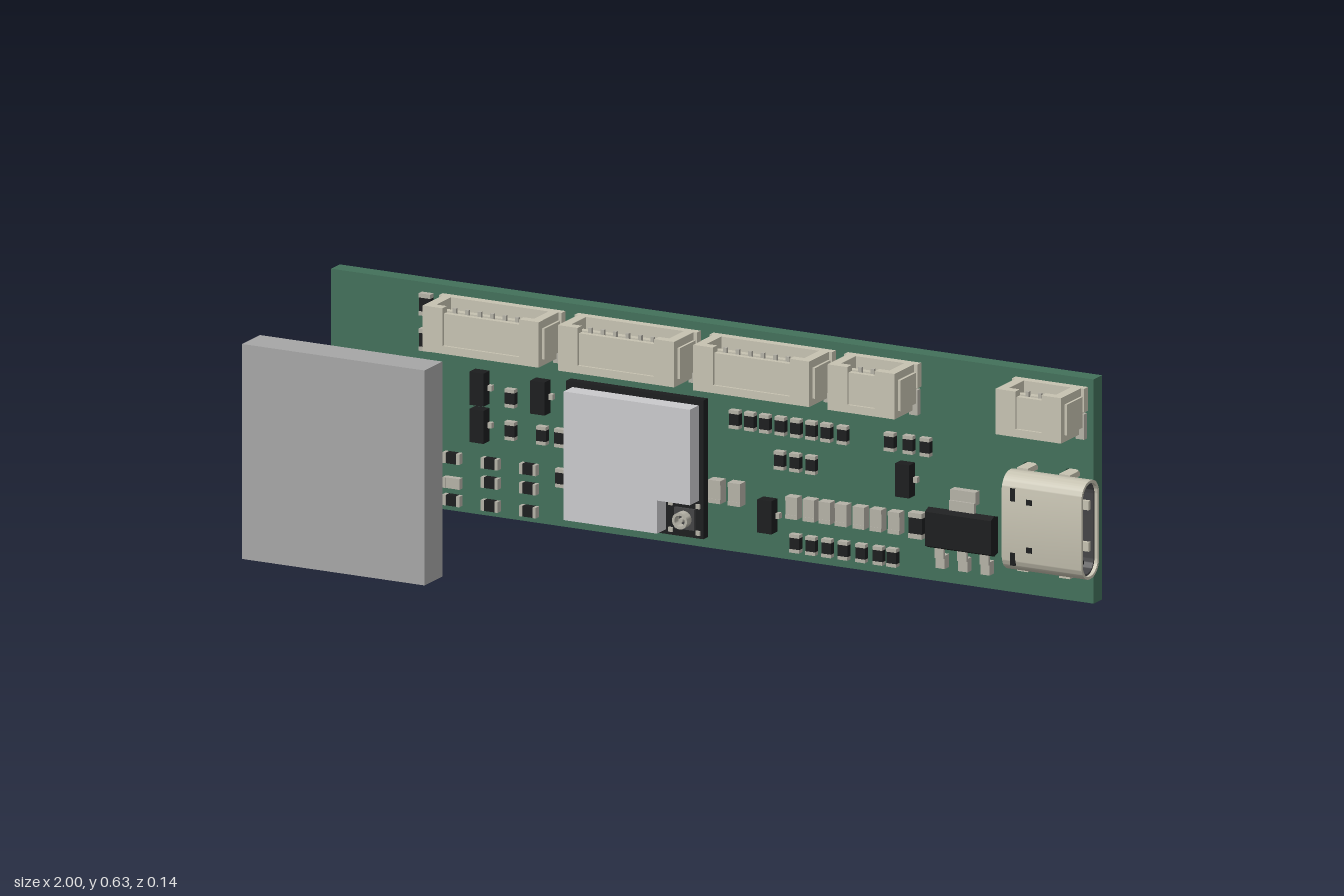
import * as THREE from 'three';
import { toCreasedNormals } from 'three/addons/utils/BufferGeometryUtils.js';

const mat = (name, color, side = THREE.FrontSide) => {
  const m = new THREE.MeshStandardMaterial({ color, side });
  m.name = name;
  return m;
};

export function createModel() {
  const green = mat('boardGreen', 0x42705a);
  const grey = mat('blockGrey', 0xa6a6a6);
  const silver = mat('shieldSilver', 0xc9c9cc);
  const cream = mat('connectorCream', 0xc6c2b1);
  const black = mat('chipBlack', 0x1c1d1e);
  const dark = mat('socketDark', 0x434345);
  const metal = mat('solderMetal', 0xb4b1a6);

  const F = -0.032; // front face of the board
  const root = new THREE.Group();
  root.name = 'circuitBoardAssembly';

  const group = (name, parent = root) => {
    const g = new THREE.Group();
    g.name = name;
    parent.add(g);
    return g;
  };
  const add = (parent, name, geo, material) => {
    const m = new THREE.Mesh(geo, material);
    m.name = name;
    parent.add(m);
    return m;
  };
  // box given by its limits on each axis
  const box = (parent, name, material, x0, x1, y0, y1, z0, z1) => {
    const m = add(parent, name, new THREE.BoxGeometry(x1 - x0, y1 - y0, z1 - z0), material);
    m.position.set((x0 + x1) / 2, (y0 + y1) / 2, (z0 + z1) / 2);
    return m;
  };
  const poly = pts => new THREE.Shape(pts.map(p => new THREE.Vector2(p[0], p[1])));
  const extrude = (shape, depth) =>
    new THREE.ExtrudeGeometry(shape, { depth, bevelEnabled: false, curveSegments: 10 });
  // (z, y) profile swept along x
  const sweepX = (shape, x0, x1) => extrude(shape, x1 - x0).rotateY(-Math.PI / 2).translate(x1, 0, 0);
  // rectangle with round corners, as a shape or a hole
  const rounded = (cx, cy, w, h, r, Kind = THREE.Shape) => {
    const s = new Kind(), a = w / 2 - r, b = h / 2 - r;
    s.absarc(cx + a, cy + b, r, 0, Math.PI / 2);
    s.absarc(cx - a, cy + b, r, Math.PI / 2, Math.PI);
    s.absarc(cx - a, cy - b, r, Math.PI, Math.PI * 1.5);
    s.absarc(cx + a, cy - b, r, Math.PI * 1.5, Math.PI * 2);
    s.closePath();
    return s;
  };

  // board with slots and locating holes for the socket
  const slots = [[0.935, 0.21], [0.835, 0.212], [0.935, 0.424], [0.835, 0.425]];
  const outline = poly([[-0.83, 0.147], [0.985, 0.147], [0.985, 0.635], [-0.83, 0.635]]);
  slots.forEach(([x, y]) => outline.holes.push(rounded(x, y, 0.036, 0.02, 0.0099, THREE.Path)));
  [0.25, 0.387].forEach(y => outline.holes.push(rounded(0.847, y, 0.014, 0.014, 0.0069, THREE.Path)));
  add(root, 'board', extrude(outline, 0.038).translate(0, 0, -0.07), green);

  // large plain block
  box(root, 'block', grey, -1, -0.565, 0, 0.468, F, 0.047);

  // wire connectors, open at the top
  const wireConnector = (x0, x1, pins) => {
    const g = group('wireConnector');
    const side = poly([[F, 0.53], [-0.007, 0.53], [-0.007, 0.518], [0.072, 0.518], [0.072, 0.617], [F, 0.617]]);
    const mid = (x0 + x1) / 2;
    for (const s of [-1, 1]) {
      const e = s < 0 ? x0 : x1, at = d => e - s * d;
      const span = (a, b) => [Math.min(at(a), at(b)), Math.max(at(a), at(b))];
      const [a, b] = span(0.008, 0.03);
      add(g, 'endWall', sweepX(side, a, b), cream);
      box(g, 'sideRib', cream, ...span(0, 0.008), 0.565, 0.617, F, -0.015);
      box(g, 'sideLug', cream, ...span(0.002, 0.008), 0.533, 0.6, -0.012, 0.057);
      box(g, 'mountFoot', metal, ...span(0.002, 0.022), 0.505, 0.56, F, -0.018);
      box(g, 'frontRail', cream, ...span(0.03, 0.055), 0.535, 0.617, 0.052, 0.072);
    }
    const a = x0 + 0.03, b = x1 - 0.03;
    box(g, 'base', cream, a, b, 0.518, 0.55, -0.007, 0.066);
    box(g, 'backWall', cream, a, b, 0.53, 0.617, F, -0.012);
    box(g, 'frontWall', cream, a, b, 0.518, 0.604, 0.054, 0.066);
    box(g, 'frontLedge', cream, a, b, 0.518, 0.535, 0.066, 0.072);
    box(g, 'cavityFloor', black, mid - (b - a) * 0.3, mid + (b - a) * 0.3, 0.55, 0.553, 0.028, 0.04);
    box(g, 'tongue', cream, a, b, 0.55, 0.595, 0.002, 0.016);
    for (let i = 0; i < pins; i++) {
      const x = mid + (i - (pins - 1) / 2) * 0.0297;
      box(g, 'pin', metal, x - 0.004, x + 0.004, 0.55, 0.605, 0.016, 0.023);
      box(g, 'pinFoot', metal, x - 0.004, x + 0.004, 0.495, 0.53, F, -0.022);
    }
  };
  [[-0.564, -0.272, 7], [-0.242, 0.05, 7], [0.08, 0.372, 7], [0.4, 0.575, 3], [0.8, 0.972, 3]]
    .forEach(c => wireConnector(...c));

  // radio module with notched metal shield and antenna jack
  const radio = group('radioModule');
  box(radio, 'moduleBase', black, -0.26, 0.067, 0.17, 0.472, F, -0.012);
  const lid = poly([[-0.245, 0.18], [-0.022, 0.18], [-0.022, 0.252], [0.056, 0.252], [0.056, 0.46], [-0.245, 0.46]]);
  add(radio, 'shield', extrude(lid, 0.039).translate(0, 0, -0.012), silver);
  const jack = group('antennaJack', radio);
  box(jack, 'jackBase', dark, 0, 0.048, 0.187, 0.233, -0.012, -0.006);
  const ring = new THREE.Shape().absarc(0, 0, 0.018, 0, Math.PI * 2);
  ring.holes.push(new THREE.Path().absarc(0, 0, 0.012, 0, Math.PI * 2));
  add(jack, 'jackRing', toCreasedNormals(extrude(ring, 0.02), 0.7).translate(0.024, 0.21, -0.006), metal);
  add(jack, 'jackPin', new THREE.CylinderGeometry(0.005, 0.005, 0.016, 12).rotateX(Math.PI / 2).translate(0.024, 0.21, 0.002), metal);
  for (const [x, y] of [[-0.01, 0.24], [0.055, 0.24], [-0.01, 0.182], [0.055, 0.182]])
    box(radio, 'antennaPad', metal, x - 0.005, x + 0.005, y - 0.005, y + 0.005, -0.012, -0.008);

  // rounded socket, open toward +x
  const usb = group('portSocket');
  const cz = 0.01, cy = 0.32;
  const ringShape = (w, h, r, w2, h2, r2) => {
    const s = rounded(cz, cy, w, h, r);
    s.holes.push(rounded(cz, cy, w2, h2, r2, THREE.Path));
    return s;
  };
  const creased = g => toCreasedNormals(g, 0.6);
  add(usb, 'shell', creased(sweepX(ringShape(0.078, 0.214, 0.036, 0.066, 0.202, 0.031), 0.81, 1)), cream);
  add(usb, 'shellLining', creased(sweepX(ringShape(0.066, 0.202, 0.031, 0.058, 0.194, 0.027), 0.815, 0.992)), dark);
  add(usb, 'socketBack', sweepX(rounded(cz, cy, 0.066, 0.202, 0.031), 0.812, 0.86), dark);
  box(usb, 'tongue', dark, 0.86, 0.975, 0.24, 0.4, 0.002, 0.02);
  for (const s of [-1, 1]) {
    box(usb, 'tongueEnd', black, 0.86, 0.98, cy + s * 0.076 - 0.004, cy + s * 0.076 + 0.004, 0, 0.022);
    for (const z of [-0.015, 0.035])
      box(usb, 'springTab', cream, 0.91, 0.985, cy + s * 0.045 - 0.01, cy + s * 0.045 + 0.01, z - 0.004, z + 0.004);
    box(usb, 'dimple', black, 0.868, 0.882, cy + s * 0.052 - 0.006, cy + s * 0.052 + 0.006, 0.046, 0.05);
    box(usb, 'shellSlot', black, 0.83, 0.842, cy + s * 0.07 - 0.02, cy + s * 0.07 + 0.008, 0.046, 0.05);
  }
  for (let i = 0; i < 12; i++) {
    const y = cy + (i - 5.5) * 0.0125;
    box(usb, 'contact', metal, 0.88, 0.97, y - 0.003, y + 0.003, 0.0005, 0.0215);
    box(usb, 'solderLead', metal, 0.796, 0.815, y - 0.0035, y + 0.0035, F, -0.022);
  }
  box(usb, 'rearBody', black, 0.806, 0.83, 0.235, 0.405, F, 0.02);
  slots.forEach(([x, y]) => box(usb, 'shellLeg', cream, x - 0.013, x + 0.013, y - 0.006, y + 0.006, -0.068, 0.004));

  // power regulator with tapered body
  const reg = group('regulator');
  const bodyProfile = poly([[0.61, -0.026], [0.755, -0.026], [0.76, -0.01], [0.752, 0.006], [0.613, 0.006], [0.605, -0.01]]);
  add(reg, 'regulatorBody', extrude(bodyProfile, 0.087).rotateX(Math.PI / 2)
    .scale(1, 1, -1).translate(0, 0, 0).applyMatrix4(new THREE.Matrix4()), black).visible = false;
  reg.clear();
  // profile in (z, y) gives sloped long sides
  add(reg, 'regulatorBody', sweepX(poly([[-0.026, 0.23], [-0.01, 0.225], [0.006, 0.232],
    [0.006, 0.306], [-0.01, 0.313], [-0.026, 0.308]]), 0.604, 0.761), black);
  const lead = (name, x, w, y, s) => {
    box(reg, name, metal, x - w, x + w, Math.min(y, y + s * 0.022), Math.max(y, y + s * 0.022), -0.015, -0.008);
    box(reg, name, metal, x - w, x + w, Math.min(y + s * 0.016, y + s * 0.045), Math.max(y + s * 0.016, y + s * 0.045), F, -0.013);
  };
  lead('heatTab', 0.684, 0.03, 0.312, 1);
  [0.63, 0.684, 0.737].forEach(x => lead('regulatorLead', x, 0.011, 0.226, -1));

  // small three-lead packages
  const transistors = group('transistors');
  for (const [x, y] of [[-0.468, 0.428], [-0.468, 0.347], [-0.323, 0.428], [0.545, 0.363], [0.217, 0.241]]) {
    box(transistors, 'transistorBody', black, x - 0.017, x + 0.017, y - 0.036, y + 0.036, -0.029, -0.002);
    for (const [dx, dy] of [[-0.019, 0.024], [-0.019, -0.024], [0.019, 0]])
      box(transistors, 'transistorLead', metal, x + dx - 0.007, x + dx + 0.007, y + dy - 0.006, y + dy + 0.006, F, -0.02);
  }

  // two-ended chips: body between metal end caps
  const chips = group('chipParts');
  const chip = (x, y, body, vertical, size = 0.02, top = -0.018) => {
    const g = group('chip', chips);
    g.position.set(x, y, 0);
    if (vertical) g.rotation.z = Math.PI / 2;
    const l = size, w = size * 0.58;
    box(g, 'chipBody', body, -l * 0.62, l * 0.62, -w, w, F, top);
    for (const s of [-1, 1]) {
      const xs = [s * l * 0.62, s * l].sort((p, q) => p - q);
      box(g, 'chipEnd', metal, ...xs, -w, w, F, top + 0.001);
    }
  };
  const row = (y, xs, body, vertical, size, top) => xs.forEach(x => chip(x, y, body, vertical, size, top));
  row(0.438, [0.136, 0.172, 0.208, 0.245, 0.282, 0.318, 0.354, 0.393, 0.505, 0.55, 0.59], black, true);
  row(0.363, [0.243, 0.28, 0.318], black, true);
  row(0.266, [0.277, 0.318, 0.356, 0.395, 0.437, 0.478, 0.521], metal, true, 0.024, -0.01);
  row(0.266, [0.571], black, true, 0.028, -0.012);
  row(0.187, [0.28, 0.318, 0.356, 0.395, 0.437, 0.478, 0.511], black, true);
  row(0.278, [0.095, 0.142], metal, true, 0.025, -0.008);
  row(0.59, [-0.6], black, true, 0.024);
  row(0.513, [-0.6], black, true, 0.024);
  row(0.413, [-0.398], black, true);
  row(0.342, [-0.398, -0.323, -0.28], black, true);
  row(0.264, [-0.537, -0.446, -0.355], black, false);
  row(0.222, [-0.446, -0.355], black, false);
  row(0.21, [-0.537], metal, false);
  row(0.172, [-0.537, -0.446, -0.355], black, false);
  row(0.255, [-0.278], black, true);

  return root;
}
